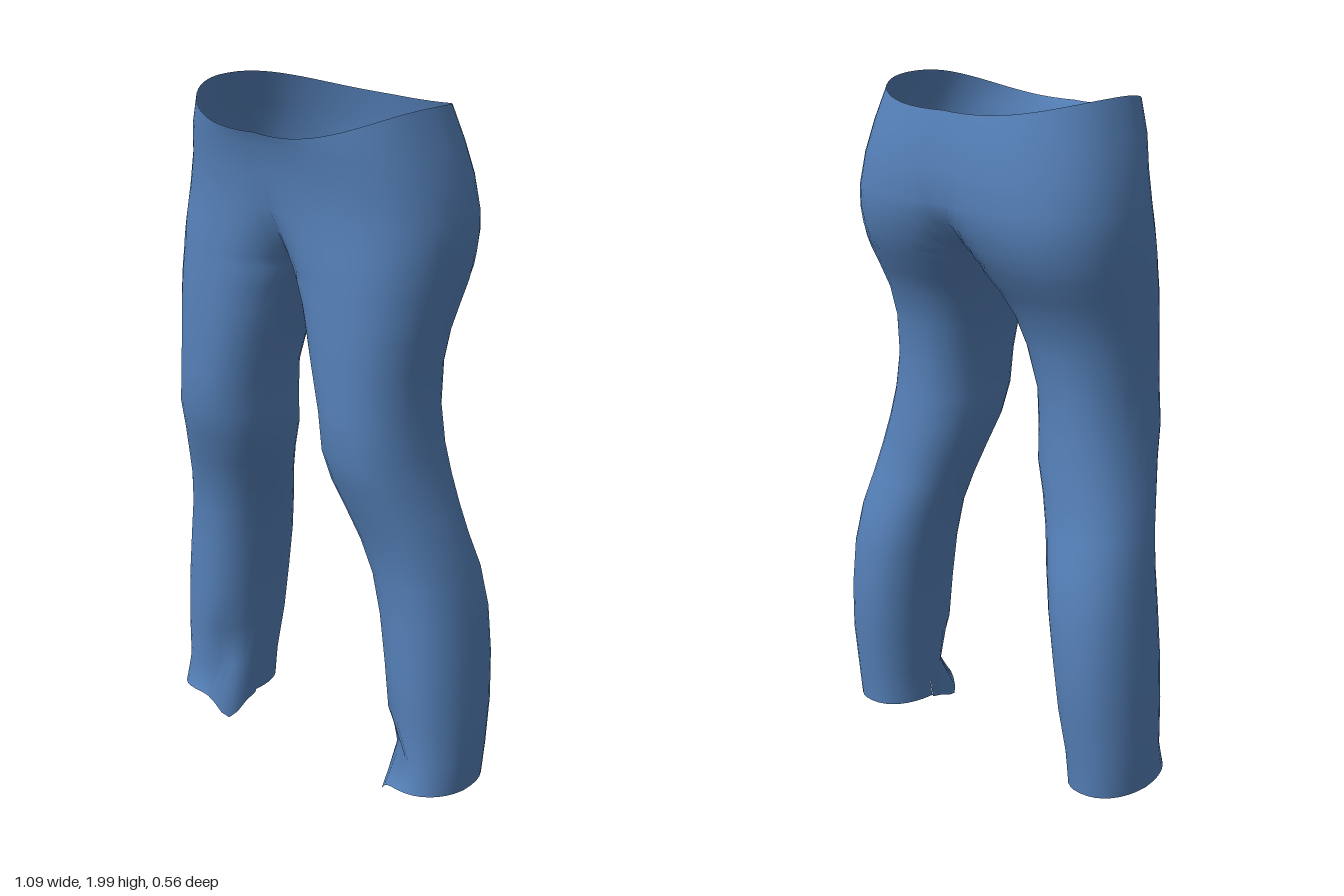
import * as THREE from 'three';
import { mergeVertices } from 'three/addons/utils/BufferGeometryUtils.js';

// Half-section of the trousers at each height: y, outer x, inner x, front z, back z.
// A negative inner x means the section runs into its mirrored twin at x = 0.
const ROWS = [
  [1.99, 0.365, -0.25, 0.28, -0.245],
  [1.88, 0.4, -0.24, 0.265, -0.262],
  [1.79, 0.423, -0.22, 0.245, -0.278],
  [1.7, 0.438, -0.17, 0.24, -0.283],
  [1.64, 0.441, -0.1, 0.24, -0.272],
  [1.59, 0.44, -0.05, 0.242, -0.255],
  [1.55, 0.438, -0.018, 0.243, -0.238],
  [1.52, 0.436, 0, 0.244, -0.222],
  [1.46, 0.431, 0.035, 0.247, -0.183],
  [1.39, 0.424, 0.063, 0.25, -0.143],
  [1.3, 0.416, 0.092, 0.253, -0.115],
  [1.18, 0.417, 0.125, 0.253, -0.1],
  [1.07, 0.43, 0.135, 0.25, -0.105],
  [0.98, 0.446, 0.145, 0.222, -0.115],
  [0.89, 0.468, 0.175, 0.19, -0.123],
  [0.8, 0.49, 0.203, 0.16, -0.138],
  [0.7, 0.51, 0.235, 0.143, -0.168],
  [0.58, 0.527, 0.26, 0.138, -0.187],
  [0.44, 0.538, 0.282, 0.138, -0.19],
  [0.3, 0.544, 0.298, 0.135, -0.182],
  [0.16, 0.545, 0.314, 0.128, -0.16],
  [0.06, 0.54, 0.318, 0.155, -0.152],
];
const SEGMENTS = 32;
const ROUND = 0.88; // below 1 squares the sections slightly

const power = (v) => Math.sign(v) * Math.abs(v) ** ROUND;
const bump = (angle, centre, width) => Math.exp(-(((angle - centre) / width) ** 2));

// One point of the garment on the given side (+1 left, -1 right)
function surfacePoint(row, step, side) {
  const [height, outer, inner, front, back] = ROWS[row];
  const cx = (outer + inner) / 2, a = (outer - inner) / 2;
  const cz = (front + back) / 2, b = (front - back) / 2;
  const limit = inner >= 0 ? Math.PI : Math.acos(-((cx / a) ** (1 / ROUND)));
  const angle = limit * ((2 * step) / SEGMENTS - 1);
  const s = Math.sin(angle);
  let x = cx + a * power(Math.cos(angle));
  let y = height;
  let z = cz + b * power(s);
  if (step === 0 || step === SEGMENTS) {
    if (inner < 0) x = 0;
    else if (inner >= 0) z = cz;
  }

  // Waist rim dips at front and back
  if (row === 0) y -= (s > 0 ? 0.075 : 0.045) * s * s;
  // Fold above the cuff, then a pointed inner front corner at the hem
  if (row === ROWS.length - 2) {
    const fold = bump(angle, 2.1, 0.45);
    x += 0.012 * fold;
    z -= 0.035 * fold;
  }
  if (row === ROWS.length - 1) {
    const corner = bump(angle, 2.55, 0.4);
    y += 0.02 * Math.max(0, s) - (side < 0 ? 0.072 : 0.045) * corner;
    x -= 0.008 * corner;
    z += 0.015 * corner;
  }
  // The right side is a little fuller above the knee
  if (side < 0) x *= 1 + 0.035 * THREE.MathUtils.clamp((y - 0.7) / 0.6, 0, 1);
  return [side * x, y, z];
}

function trouserGeometry() {
  const positions = [], index = [];
  for (const side of [1, -1]) {
    const base = positions.length / 3;
    for (let i = 0; i < ROWS.length; i++) {
      for (let j = 0; j <= SEGMENTS; j++) positions.push(...surfacePoint(i, j, side));
    }
    for (let i = 0; i < ROWS.length - 1; i++) {
      for (let j = 0; j < SEGMENTS; j++) {
        const p = base + i * (SEGMENTS + 1) + j, q = p + SEGMENTS + 1;
        if (side > 0) index.push(p, p + 1, q, p + 1, q + 1, q);
        else index.push(p, q, p + 1, p + 1, q, q + 1);
      }
    }
  }
  const geometry = new THREE.BufferGeometry();
  geometry.setAttribute('position', new THREE.Float32BufferAttribute(positions, 3));
  geometry.setIndex(index);
  // Weld the centre seam and the inner leg seams so shading stays smooth
  const welded = mergeVertices(geometry, 1e-4);
  welded.computeVertexNormals();
  return welded;
}

export function createModel() {
  const denim = new THREE.MeshStandardMaterial({ color: 0x5580b8, side: THREE.DoubleSide });
  denim.name = 'denim blue';
  const trousers = new THREE.Mesh(trouserGeometry(), denim);
  trousers.name = 'trousers';
  const model = new THREE.Group();
  model.name = 'trousers model';
  model.add(trousers);
  return model;
}
